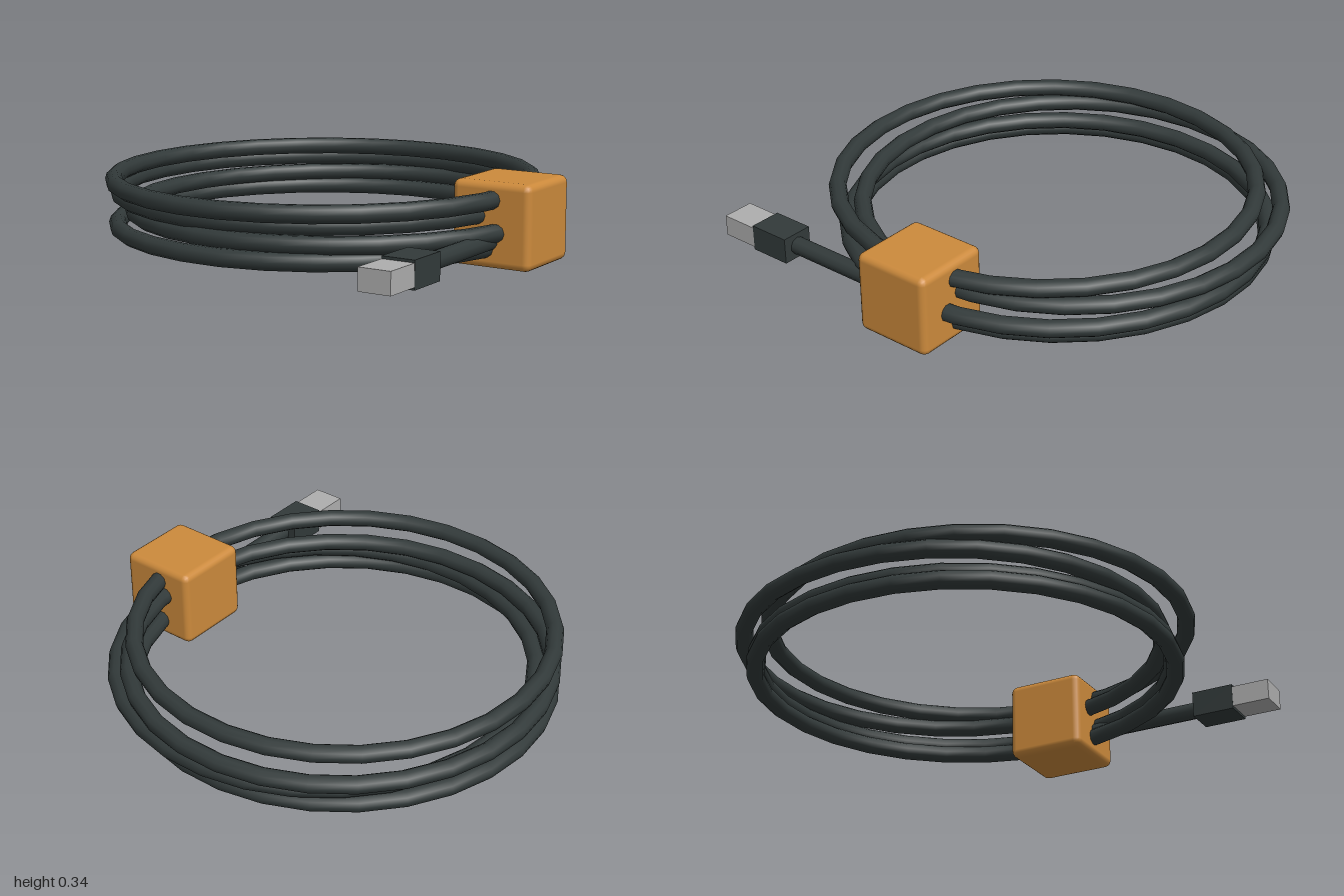
import * as THREE from 'three';
import { RoundedBoxGeometry } from 'three/addons/geometries/RoundedBoxGeometry.js';

const material = (name, color) => {
  const m = new THREE.MeshStandardMaterial({ color });
  m.name = name;
  return m;
};

export function createModel() {
  const group = new THREE.Group();
  const rubber = material('dark rubber', 0x323a3a);
  const orange = material('orange', 0xcc8a3c);
  const metal = material('metal grey', 0xaeaeae);

  const add = (name, geometry, mat, x, y, z) => {
    const mesh = new THREE.Mesh(geometry, mat);
    mesh.name = name;
    mesh.position.set(x, y, z);
    group.add(mesh);
    return mesh;
  };

  // Four stacked cable loops, each slightly off centre: x, y, z
  const tube = 0.037;
  const loops = [
    [-0.058, 0.08, -0.032],
    [-0.003, 0.145, -0.068],
    [-0.085, 0.21, -0.076],
    [-0.035, 0.275, 0.015],
  ];
  loops.forEach(([x, y, z], i) => {
    const loop = add(`cableLoop${i + 1}`, new THREE.TorusGeometry(0.876, tube, 10, 30), rubber, x, y, z);
    loop.rotation.x = Math.PI / 2;
  });

  // Cable tie block gathering the loops
  add('tieBlock', new RoundedBoxGeometry(0.345, 0.345, 0.345, 2, 0.03), orange, 0.822, 0.1725, -0.035);

  // Loose cable end running from the block to the plug
  const end = add('cableEnd', new THREE.CylinderGeometry(tube, tube, 0.65, 10), rubber, 0.82, 0.112, 0.345);
  end.rotation.x = Math.PI / 2;

  // Plug housing and its metal connector
  add('plugHousing', new THREE.BoxGeometry(0.14, 0.112, 0.185), rubber, 0.82, 0.112, 0.738);
  add('plugConnector', new THREE.BoxGeometry(0.138, 0.09, 0.165), metal, 0.82, 0.112, 0.912);

  return group;
}
